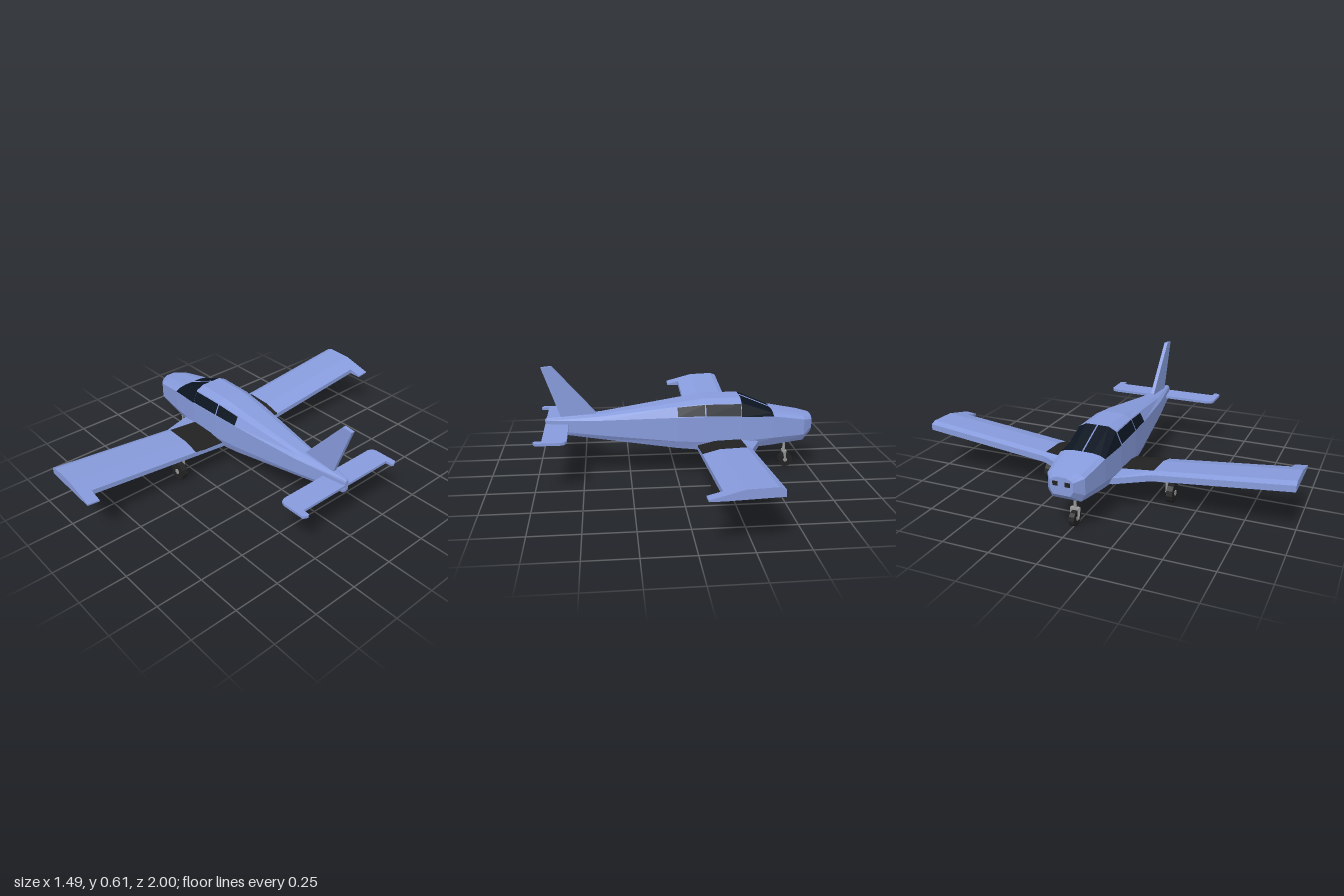
import * as THREE from 'three';

const mat = (color) => new THREE.MeshStandardMaterial({ color, flatShading: true, side: THREE.DoubleSide });
const V = (x, y, z) => new THREE.Vector3(x, y, z);

// Skin over closed rings of points; keep(i, j) picks the panels to build
function loft(rings, keep = () => true, caps = true) {
  const pos = [];
  const tri = (...pts) => pts.forEach((p) => pos.push(p.x, p.y, p.z));
  const n = rings[0].length;
  for (let i = 0; i < rings.length - 1; i++) {
    for (let j = 0; j < n; j++) {
      if (!keep(i, j)) continue;
      const k = (j + 1) % n;
      tri(rings[i][j], rings[i + 1][j], rings[i + 1][k]);
      tri(rings[i][j], rings[i + 1][k], rings[i][k]);
    }
  }
  if (caps) {
    const a = rings[0], b = rings[rings.length - 1];
    for (let j = 1; j < n - 1; j++) {
      tri(a[0], a[j], a[j + 1]);
      tri(b[0], b[j + 1], b[j]);
    }
  }
  const g = new THREE.BufferGeometry();
  g.setAttribute('position', new THREE.Float32BufferAttribute(pos, 3));
  g.computeVertexNormals();
  return g;
}

// Flat plate of the given thickness, centred on its plane
function plate(points, depth) {
  const shape = new THREE.Shape(points.map(([x, y]) => new THREE.Vector2(x, y)));
  return new THREE.ExtrudeGeometry(shape, { depth, bevelEnabled: false }).translate(0, 0, -depth / 2);
}

// Round bar between two points
function bar(a, b, r0, r1 = r0, sides = 8) {
  const d = b.clone().sub(a);
  const g = new THREE.CylinderGeometry(r1, r0, d.length(), sides);
  g.applyQuaternion(new THREE.Quaternion().setFromUnitVectors(V(0, 1, 0), d.normalize()));
  const c = a.clone().add(b).multiplyScalar(0.5);
  return g.translate(c.x, c.y, c.z);
}

// Fuselage stations: x, then half-section as y, z pairs from belly to roof
const STATIONS = [
  [-0.745, 0.22, 0.045, 0.245, 0.06, 0.29, 0.06, 0.302, 0.045, 0.31, 0.025],
  [-0.695, 0.178, 0.075, 0.215, 0.097, 0.3, 0.097, 0.314, 0.075, 0.32, 0.045],
  [-0.52, 0.162, 0.095, 0.21, 0.12, 0.33, 0.12, 0.343, 0.095, 0.35, 0.055],
  [-0.345, 0.151, 0.11, 0.2, 0.13, 0.335, 0.13, 0.405, 0.1, 0.425, 0.06],
  [-0.15, 0.15, 0.112, 0.2, 0.127, 0.34, 0.127, 0.405, 0.098, 0.425, 0.06],
  [0, 0.163, 0.1, 0.205, 0.115, 0.337, 0.115, 0.39, 0.088, 0.403, 0.052],
  [0.4, 0.21, 0.052, 0.235, 0.065, 0.318, 0.065, 0.336, 0.048, 0.345, 0.028],
  [0.69, 0.244, 0.012, 0.26, 0.017, 0.31, 0.017, 0.32, 0.013, 0.324, 0.008],
  [0.7, 0.255, 0.008, 0.265, 0.011, 0.305, 0.011, 0.312, 0.009, 0.315, 0.005],
];

// Underside height of the wing at span position z
const wingY = (z) => 0.152 + Math.max(0, Math.abs(z) - 0.12) * 0.106;

export function createModel() {
  const model = new THREE.Group();
  const blue = mat(0x879bdc), glass = mat(0x0b1420), black = mat(0x222222), metal = mat(0x999999);
  const add = (name, geometry, material, parent = model) => {
    const m = new THREE.Mesh(geometry, material);
    m.name = name;
    parent.add(m);
    return m;
  };

  // Fuselage and windscreen share the same sections
  const rings = STATIONS.map(([x, ...s]) => {
    const half = [0, 2, 4, 6, 8].map((k) => V(x, s[k], s[k + 1]));
    return [...half, ...half.map((p) => V(x, p.y, -p.z)).reverse()];
  });
  const isGlass = (i, j) => i === 2 && j >= 2 && j <= 6;
  add('fuselage', loft(rings, (i, j) => !isGlass(i, j)), blue);
  add('windscreen', loft(rings, isGlass, false), glass);
  add('windscreenFrame', bar(V(-0.52, 0.35, 0), V(-0.345, 0.425, 0), 0.004, 0.004, 4), blue);

  // Side windows lie on the cabin's sloping panels
  for (const side of [1, -1]) {
    for (const i of [3, 4]) {
      const at = (u, t) => {
        const low = rings[i][2].clone().lerp(rings[i + 1][2], u);
        const p = low.lerp(rings[i][3].clone().lerp(rings[i + 1][3], u), t);
        return V(p.x, p.y + 0.001, (p.z + 0.003) * side);
      };
      const frame = [at(0.02, 0.06), at(0.98, 0.06), at(0.98, 0.92), at(0.02, 0.92)];
      const pane = new THREE.BufferGeometry().setFromPoints(side > 0 ? frame : frame.reverse());
      pane.setIndex([0, 1, 2, 0, 2, 3]);
      pane.computeVertexNormals();
      add('sideWindow', pane, glass);
    }
    // Nose air intakes
    add('airIntake', new THREE.BoxGeometry(0.006, 0.022, 0.026).translate(-0.745, 0.277, side * 0.032), black);
  }

  // One-piece wing with dihedral and swept root extensions
  const wing = [-1, -0.3, -0.12, 0.12, 0.3, 1].map((z) => {
    const y = wingY(z), lead = Math.abs(z) < 0.2 ? -0.44 : -0.37;
    return [[lead, 0.01], [lead, 0.043], [-0.34, 0.055], [-0.2, 0.05], [-0.11, 0.026], [-0.11, 0]]
      .map(([x, h]) => V(x, y + h, z));
  });
  add('wing', loft(wing), blue);

  for (const side of [1, -1]) {
    // Trailing wing tip
    const tip = [0.935, 1].map((a) => a * side).sort((a, b) => a - b).map((z) =>
      [[-0.11, 0], [-0.11, 0.026], [-0.04, 0.008], [-0.04, 0]].map(([x, h]) => V(x, wingY(z) + h, z)));
    add('wingTip', loft(tip), blue);
    // Dark walkway beside the cabin
    const walk = [0.12, 0.3].map((a) => a * side).sort((a, b) => a - b).map((z) =>
      [[-0.34, 0.04], [-0.34, 0.058], [-0.2, 0.053], [-0.11, 0.029], [-0.11, 0.02]]
        .map(([x, h]) => V(x, wingY(z) + h, z)));
    add('walkway', loft(walk), black);
  }

  // Tailplane: half outline mirrored across the centre line
  const halfTail = [[0.7, 0], [0.7, 0.295], [0.735, 0.295], [0.742, 0.305], [0.73, 0.33],
    [0.605, 0.33], [0.585, 0.322], [0.575, 0.3]];
  const tailOutline = [...halfTail, ...halfTail.slice(1).reverse().map(([x, z]) => [x, -z])];
  add('tailplane', plate(tailOutline, 0.014).rotateX(Math.PI / 2).translate(0, 0.286, 0), blue);

  // Fin with a small keel under the tail
  add('fin', plate([[0.43, 0.33], [0.43, 0.348], [0.655, 0.606], [0.71, 0.6], [0.615, 0.325],
    [0.635, 0.24], [0.615, 0.21], [0.58, 0.228], [0.56, 0.27]], 0.02), blue);

  // Landing gear
  const wheel = (x, r, z, width, parent) => {
    add('tyre', new THREE.CylinderGeometry(r, r, width, 12).rotateX(Math.PI / 2).translate(x, r, z), black, parent);
    add('hub', new THREE.CylinderGeometry(r * 0.3, r * 0.3, width + 0.006, 8)
      .rotateX(Math.PI / 2).translate(x, r, z), metal, parent);
  };
  const nose = new THREE.Group();
  nose.name = 'noseGear';
  wheel(-0.62, 0.04, 0, 0.028, nose);
  add('strut', bar(V(-0.612, 0.09, 0), V(-0.612, 0.19, 0), 0.008), metal, nose);
  add('forkCrown', new THREE.BoxGeometry(0.022, 0.01, 0.046).translate(-0.614, 0.09, 0), metal, nose);
  for (const z of [-0.02, 0.02]) {
    add('forkLeg', bar(V(-0.62, 0.036, z), V(-0.613, 0.092, z), 0.005, 0.009, 4), metal, nose);
  }
  model.add(nose);

  for (const side of [1, -1]) {
    const gear = new THREE.Group();
    gear.name = side > 0 ? 'leftMainGear' : 'rightMainGear';
    wheel(-0.2, 0.053, side * 0.352, 0.033, gear);
    add('strut', bar(V(-0.2, 0.1, side * 0.322), V(-0.2, 0.19, side * 0.322), 0.008), metal, gear);
    add('lowerStrut', bar(V(-0.2, 0.047, side * 0.322), V(-0.2, 0.11, side * 0.322), 0.006), metal, gear);
    add('axle', bar(V(-0.2, 0.053, side * 0.316), V(-0.2, 0.053, side * 0.352), 0.006), metal, gear);
    model.add(gear);
  }
  return model;
}
